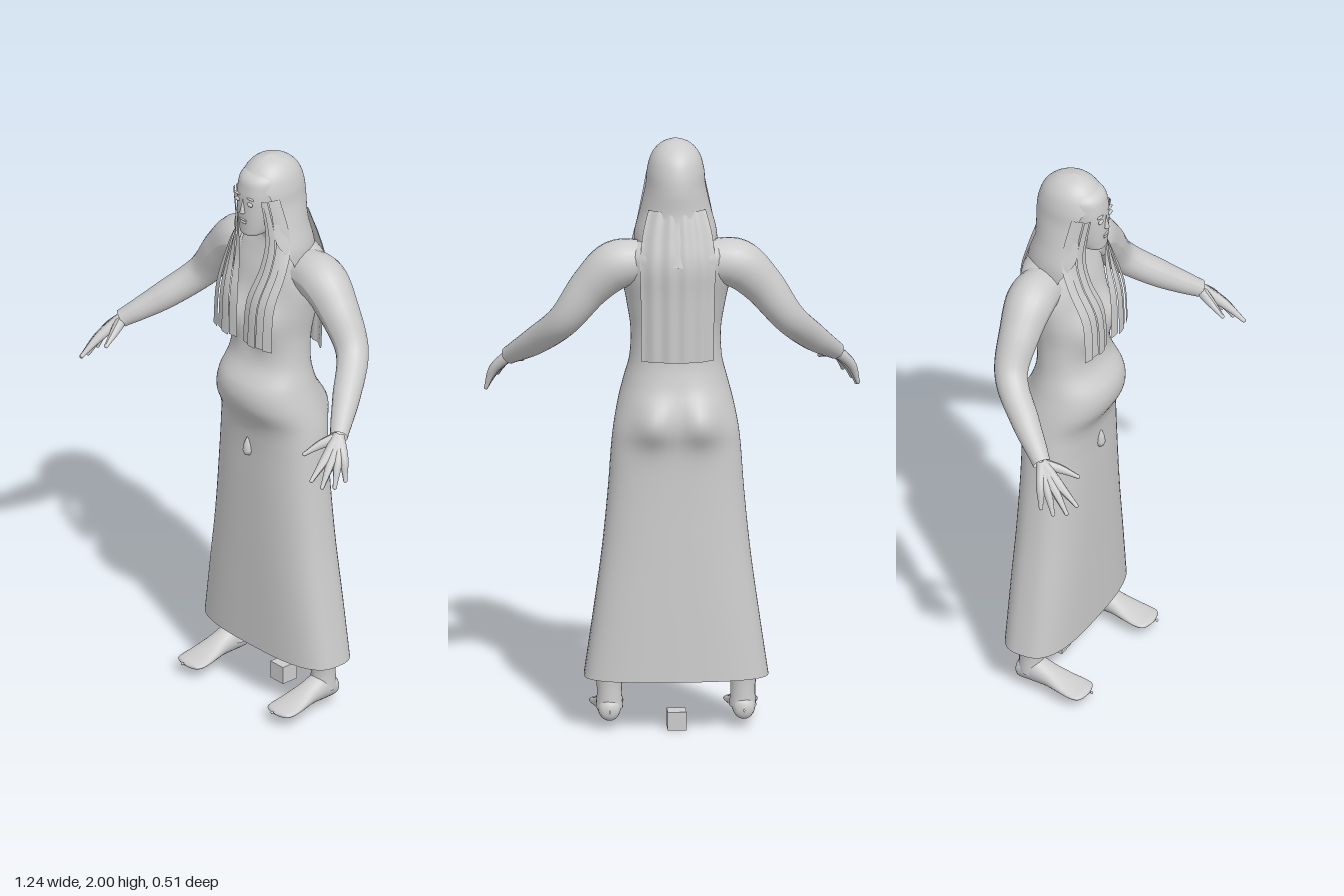
import * as THREE from 'three';

const grey = new THREE.MeshStandardMaterial({ color: 0xcccccc, side: THREE.DoubleSide });
grey.name = 'plain grey';

function add(parent, name, geometry) {
  const mesh = new THREE.Mesh(geometry, grey);
  mesh.name = name;
  parent.add(mesh);
  return mesh;
}

// Smooth interpolation through rows of numbers, t from 0 to 1
function sample(rows, t) {
  const f = t * (rows.length - 1), i = Math.min(Math.floor(f), rows.length - 2), k = f - i;
  const row = (n) => rows[Math.max(0, Math.min(rows.length - 1, n))];
  return rows[i].map((b, n) => {
    const a = row(i - 1)[n], c = row(i + 1)[n], d = row(i + 2)[n];
    return b + 0.5 * k * (c - a + k * (2 * a - 5 * b + 4 * c - d + k * (3 * (b - c) + d - a)));
  });
}

// Grid surface from point(u, v); wrap joins u = 1 to u = 0
function surface(point, nu, nv, wrap = false) {
  const pos = [], index = [], cols = wrap ? nu : nu + 1;
  for (let j = 0; j <= nv; j++)
    for (let i = 0; i < cols; i++) pos.push(...point(i / nu, j / nv));
  for (let j = 0; j < nv; j++)
    for (let i = 0; i < nu; i++) {
      const n = (i + 1) % cols, a = j * cols + i, b = j * cols + n;
      index.push(a, b, b + cols, a, b + cols, a + cols);
    }
  const g = new THREE.BufferGeometry();
  g.setAttribute('position', new THREE.Float32BufferAttribute(pos, 3));
  g.setIndex(index);
  g.computeVertexNormals();
  return g;
}

const power = (x, p) => Math.sign(x) * Math.pow(Math.abs(x), p);

// Upright body from rows of [y, half width, front z, back z, roundness]
function body(rows, nv, bulge = () => 0) {
  return surface((u, v) => {
    const [y, w, zf, zb, p] = sample(rows, v), a = u * Math.PI * 2;
    const x = w * power(Math.sin(a), 2 / p);
    const z = (zf + zb) / 2 + ((zf - zb) / 2) * power(Math.cos(a), 2 / p);
    return [x, y, z + bulge(x, y, Math.cos(a))];
  }, 56, nv, true);
}

// Tapered limb through [x, y, z, radius] points
function limb(points, n = 24, sides = 16) {
  const path = new THREE.CatmullRomCurve3(points.map(([x, y, z]) => new THREE.Vector3(x, y, z)));
  const g = new THREE.TubeGeometry(path, n, 1, sides);
  const pos = g.attributes.position, p = new THREE.Vector3();
  for (let i = 0; i < pos.count; i++) {
    const u = Math.floor(i / (sides + 1)) / n, c = path.getPointAt(u);
    const r = sample(points, path.getUtoTmapping(u))[3];
    p.fromBufferAttribute(pos, i).sub(c).multiplyScalar(r).add(c);
    pos.setXYZ(i, p.x, p.y, p.z);
  }
  g.computeVertexNormals();
  return g;
}

function ball(parent, name, [x, y, z], [sx, sy, sz]) {
  const m = add(parent, name, new THREE.SphereGeometry(1, 20, 14));
  m.position.set(x, y, z);
  m.scale.set(sx, sy, sz);
  return m;
}

// Sheet between two edge paths, from share s0 to s1 of its width
function strip(inner, outer, s0, s1, lift) {
  return surface((u, v) => {
    const a = sample(inner, v), b = sample(outer, v), s = s0 + (s1 - s0) * u;
    const out = [0, 1, 2].map((i) => a[i] + (b[i] - a[i]) * s);
    out[2] += lift + 0.012 * Math.sin(s * Math.PI);
    return out;
  }, 5, 20);
}

function buildSide() {
  const side = new THREE.Group();

  // Arm
  add(side, 'arm', limb([[0.12, 1.595, -0.13, 0.075], [0.2, 1.585, -0.13, 0.082], [0.28, 1.515, -0.125, 0.07],
    [0.37, 1.395, -0.11, 0.055], [0.455, 1.3, -0.01, 0.047], [0.512, 1.245, 0.065, 0.036], [0.54, 1.22, 0.1, 0.03]], 40, 20));

  // Hand: fused palm with four fingers and a thumb
  const hand = new THREE.Group();
  hand.name = 'hand';
  side.add(hand);
  const fingers = [
    [[0.56, 1.172, 0.178], [0.57, 1.12, 0.247]],
    [[0.576, 1.162, 0.168], [0.598, 1.098, 0.225]],
    [[0.587, 1.158, 0.148], [0.612, 1.088, 0.182]],
    [[0.592, 1.165, 0.125], [0.615, 1.1, 0.138]],
  ];
  for (const [k, tip] of fingers) {
    add(hand, 'finger', limb([[0.538, 1.222, 0.1, 0.02], [...k, 0.016], [...tip, 0.007]], 14, 10));
    ball(hand, 'fingertip', tip, [0.007, 0.007, 0.007]);
  }
  add(hand, 'thumb', limb([[0.538, 1.218, 0.1, 0.02], [0.512, 1.2, 0.155, 0.015], [0.492, 1.175, 0.21, 0.007]], 14, 10));
  ball(hand, 'thumbTip', [0.492, 1.175, 0.21], [0.007, 0.007, 0.007]);

  // Lower leg and foot
  add(side, 'leg', limb([[0.22, 0.07, -0.115, 0.045], [0.221, 0.13, -0.115, 0.041], [0.221, 0.19, -0.112, 0.046],
    [0.2, 0.35, -0.115, 0.06], [0.16, 0.65, -0.11, 0.07]]));
  const sole = [[-0.168, 0.002, 0.07, 0.06], [-0.155, 0.032, 0.1, 0.033], [-0.1, 0.041, 0.125, 0.03], [-0.045, 0.043, 0.105, 0.032],
    [0.01, 0.052, 0.08, 0.032], [0.06, 0.057, 0.062, 0.032], [0.09, 0.047, 0.056, 0.034], [0.103, 0.002, 0.046, 0.044]];
  add(side, 'foot', surface((u, v) => {
    const [z, w, top, low] = sample(sole, v), a = u * Math.PI * 2;
    return [0.222 + w * Math.cos(a), (top + low) / 2 + ((top - low) / 2) * Math.sin(a), z];
  }, 24, 28, true));
  ball(side, 'toeBead', [0.222, 0.052, 0.112], [0.005, 0.005, 0.005]);

  // Long front hair in overlapping strips
  const inner = [[0.066, 1.88, 0.025], [0.068, 1.74, 0.005], [0.05, 1.62, 0.015], [0.022, 1.5, 0.05], [0.015, 1.35, 0.058]];
  const outer = [[0.094, 1.88, -0.04], [0.125, 1.73, -0.06], [0.143, 1.63, -0.025], [0.142, 1.5, 0.03], [0.145, 1.35, 0.04]];
  for (let i = 0; i < 4; i++)
    add(side, 'frontHairStrip', strip(inner, outer, i / 4, (i + 1.15) / 4.15, i % 2 ? 0.004 : -0.002));

  // Eye and brow
  ball(side, 'eye', [0.031, 1.862, 0.041], [0.013, 0.007, 0.006]);
  ball(side, 'brow', [0.031, 1.882, 0.039], [0.017, 0.003, 0.006]);
  return side;
}

export function createModel() {
  const model = new THREE.Group();
  model.name = 'robedFigure';

  // Long dress and torso, with bust and seat swelling out
  const hump = (x, y, cx, cy, sx, sy) => Math.exp(-(((Math.abs(x) - cx) / sx) ** 2) - ((y - cy) / sy) ** 2);
  const dressRows = [[0.18, 0.305, 0.012, -0.23, 2.9], [0.4, 0.273, 0.015, -0.225, 2.8], [0.6, 0.246, 0.018, -0.22, 2.6],
    [0.8, 0.226, 0.02, -0.215, 2.5], [0.95, 0.215, 0.022, -0.215, 2.4], [1.03, 0.206, 0.035, -0.222, 2.3],
    [1.11, 0.19, 0.075, -0.215, 2.2], [1.18, 0.172, 0.075, -0.2, 2.2], [1.26, 0.153, 0.03, -0.185, 2.2],
    [1.36, 0.15, 0.01, -0.185, 2.3], [1.46, 0.165, 0.0, -0.2, 2.4], [1.56, 0.182, -0.02, -0.225, 2.4],
    [1.63, 0.17, -0.045, -0.23, 2.3], [1.675, 0.115, -0.06, -0.2, 2.1], [1.7, 0.06, -0.06, -0.165, 2], [1.78, 0.05, -0.05, -0.15, 2]];
  add(model, 'dress', body(dressRows, 110, (x, y, c) => c > 0
    ? c * 0.045 * hump(x, y, 0.075, 1.41, 0.055, 0.075)
    : c * 0.042 * hump(x, y, 0.085, 1.06, 0.065, 0.075)));

  // Head
  add(model, 'head', body([[1.735, 0.001, 0.0, -0.002, 2], [1.737, 0.035, 0.036, -0.04, 2.2], [1.765, 0.055, 0.042, -0.1, 2.3],
    [1.83, 0.072, 0.044, -0.16, 2.4], [1.9, 0.078, 0.04, -0.18, 2.4], [1.95, 0.068, 0.02, -0.165, 2.2], [1.985, 0.001, -0.07, -0.072, 2]], 36));
  const nose = add(model, 'nose', new THREE.ConeGeometry(0.011, 0.05, 12));
  nose.position.set(0, 1.848, 0.044);
  ball(model, 'upperLip', [0, 1.796, 0.041], [0.019, 0.004, 0.007]);
  ball(model, 'lowerLip', [0, 1.787, 0.041], [0.016, 0.005, 0.007]);

  // Hair cap, open around the face below the hairline
  const capRows = [[1.6, 0.135, -0.245], [1.68, 0.137, -0.226], [1.76, 0.118, -0.207], [1.84, 0.1, -0.208],
    [1.9, 0.094, -0.2], [1.95, 0.079, -0.178], [1.985, 0.047, -0.135], [2.0, 0.001, -0.08]];
  add(model, 'hairCap', surface((u, v) => {
    const [y, w, zb] = sample(capRows, v);
    const open = 0.95 * (1 - THREE.MathUtils.smoothstep(y, 1.88, 1.965)) + 0.5 * (1 - THREE.MathUtils.smoothstep(y, 1.62, 1.74));
    const a = open + u * 2 * (Math.PI - open), c = Math.cos(a);
    const front = 0.12 * Math.sqrt(Math.max(0, 1 - Math.max(0, (y - 1.86) / 0.14) ** 2));
    return [w * Math.sin(a), y, -0.08 + c * (c > 0 ? front : -0.08 - zb)];
  }, 56, 44));

  // Long back hair, gently fluted
  const backRows = [[1.78, 0.095, -0.2], [1.7, 0.115, -0.222], [1.6, 0.125, -0.243], [1.48, 0.122, -0.236], [1.27, 0.12, -0.226]];
  add(model, 'backHair', surface((u, v) => {
    const [y, w, z] = sample(backRows, v), s = 1 - u * 2;
    return [w * s, y, z + 0.03 * s * s + 0.003 * Math.cos(s * 14)];
  }, 48, 24));

  // Drop ornament on the dress
  add(model, 'dropOrnament', new THREE.LatheGeometry([[0, -0.036], [0.012, -0.03], [0.017, -0.015], [0.013, 0.008], [0.006, 0.026], [0, 0.036]]
    .map(([x, y]) => new THREE.Vector2(x, y)), 18)).position.set(0, 0.935, 0.022);

  // Small block on the ground
  add(model, 'groundBlock', new THREE.BoxGeometry(0.062, 0.062, 0.062)).position.set(0, 0.031, -0.137);

  // Mirrored limbs and front hair
  const left = buildSide(), right = buildSide();
  left.name = 'leftSide';
  right.name = 'rightSide';
  right.scale.x = -1;
  model.add(left, right);
  return model;
}
